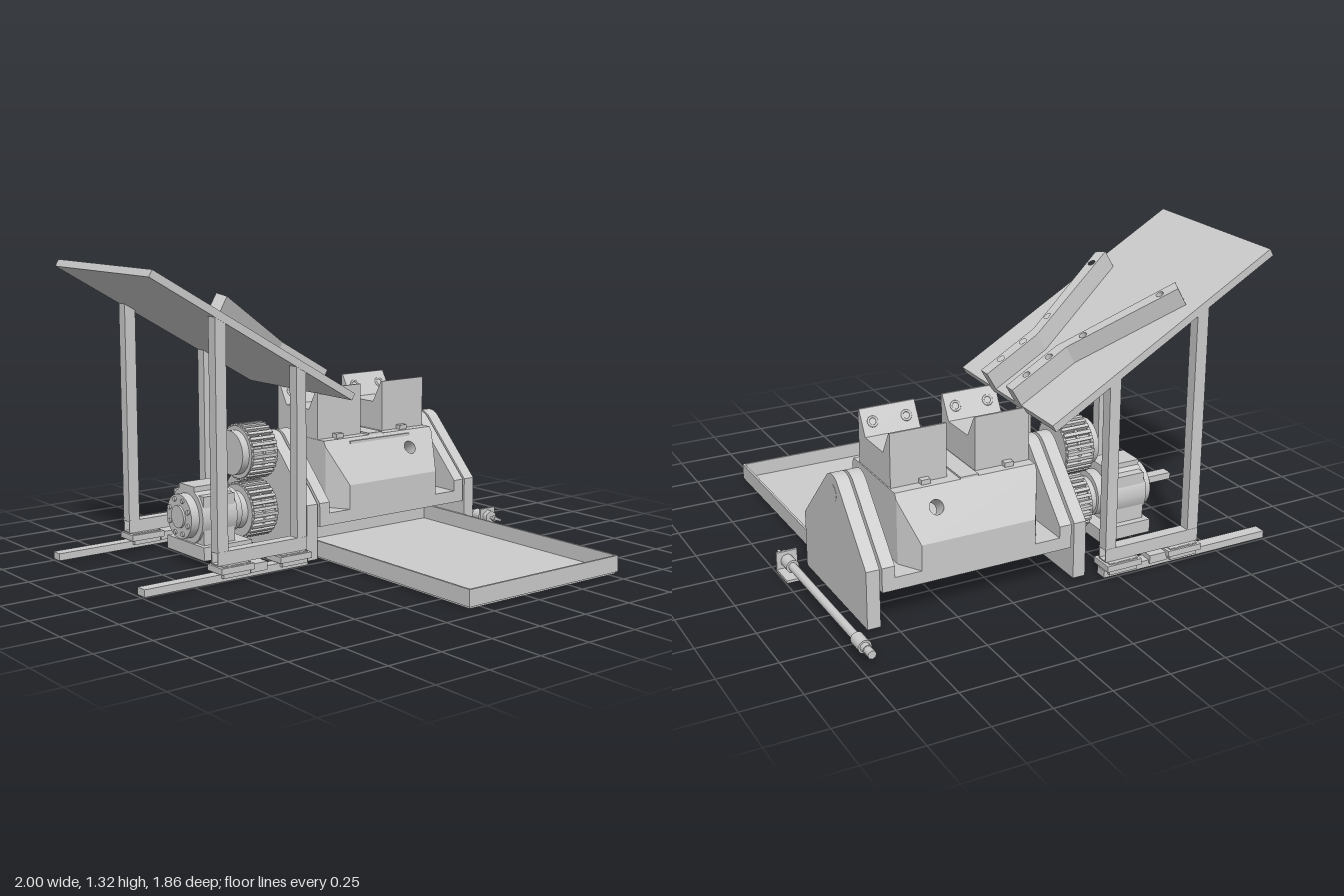
import * as THREE from 'three';

const grey = new THREE.MeshStandardMaterial({ color: 0xcccccc });
const greyDouble = new THREE.MeshStandardMaterial({ color: 0xcccccc, side: THREE.DoubleSide });
const ZC = -0.365; // centre line of the machine
const V = (x, y, z) => new THREE.Vector3(x, y, z);

function add(parent, name, geo, mat = grey) {
  const m = new THREE.Mesh(geo, mat);
  m.name = name;
  parent.add(m);
  return m;
}
// box from its limits
function box(parent, name, x0, x1, y0, y1, z0, z1) {
  return add(parent, name, new THREE.BoxGeometry(x1 - x0, y1 - y0, z1 - z0)
    .translate((x0 + x1) / 2, (y0 + y1) / 2, (z0 + z1) / 2));
}
// cylinder along x or z between two positions; a, b are the other two coordinates
function rodX(parent, name, x0, x1, y, z, r, sides = 32) {
  return add(parent, name, new THREE.CylinderGeometry(r, r, x1 - x0, sides)
    .rotateZ(Math.PI / 2).translate((x0 + x1) / 2, y, z));
}
function rodZ(parent, name, z0, z1, x, y, r, sides = 24) {
  return add(parent, name, new THREE.CylinderGeometry(r, r, z1 - z0, sides)
    .rotateX(Math.PI / 2).translate(x, y, (z0 + z1) / 2));
}
const poly = pts => new THREE.Shape(pts.map(p => new THREE.Vector2(...p)));
const hole = (x, y, r) => new THREE.Path().absarc(x, y, r, 0, Math.PI * 2, true);
const extrude = (shape, depth) =>
  new THREE.ExtrudeGeometry(shape, { depth, bevelEnabled: false, curveSegments: 20 });
// extrude a (-z, y) profile along x from x0 to x1, centred on the machine line
const alongX = (shape, x0, x1, z = ZC) => extrude(shape, x1 - x0).rotateY(Math.PI / 2).translate(x0, 0, z);

// flat panel through corners listed counter-clockwise, with an optional round hole
function panel(pts, holeAt, r) {
  const u = pts[1].clone().sub(pts[0]).normalize();
  const n = u.clone().cross(pts[2].clone().sub(pts[1])).normalize();
  const v = n.clone().cross(u);
  const flat = p => { const d = p.clone().sub(pts[0]); return [d.dot(u), d.dot(v)]; };
  const s = poly(pts.map(flat));
  if (holeAt) s.holes.push(hole(...flat(holeAt), r));
  const m = new THREE.Matrix4().makeBasis(u, v, n).setPosition(pts[0]);
  return { geo: new THREE.ShapeGeometry(s, 20).applyMatrix4(m), n };
}

function ramp() {
  const g = new THREE.Group();
  g.name = 'ramp';
  const deck = new THREE.Group();
  deck.name = 'rampDeck';
  deck.position.set(-0.935, 1.322, ZC);
  deck.rotation.z = -Math.PI / 6;
  box(deck, 'rampPlate', 0, 1.172, -0.033, 0, -0.387, 0.387);
  // pair of converging guides with bolt holes
  for (const s of [1, -1]) {
    const shape = poly([[0.387, 0.265], [0.9, 0.08], [1.172, 0.08], [1.172, 0.135], [0.885, 0.135], [0.41, 0.315]]
      .map(([x, w]) => [x, w * s]));
    for (const [x, w] of [[0.47, 0.262], [0.8, 0.143], [0.96, 0.108], [1.08, 0.108]])
      shape.holes.push(hole(x, w * s, 0.016));
    add(deck, 'rampGuide', extrude(shape, 0.085).rotateX(-Math.PI / 2));
  }
  g.add(deck);
  // carrying frame and linear rails, one per side
  const under = x => 1.322 - (x + 0.935) * 0.577 - 0.038;
  for (const [z, s] of [[-0.005, 1], [-0.725, -1]]) {
    for (const [a, b] of [[-0.645, -0.592], [-0.235, -0.185]])
      add(g, 'rampPost', extrude(poly([[a, 0.13], [b, 0.13], [b, under(b)], [a, under(a)]]), 0.05).translate(0, 0, z - 0.025));
    const tube = poly([[-0.026, 0.077], [0.026, 0.077], [0.026, 0.135], [-0.026, 0.135]]);
    tube.holes.push(poly([[-0.021, 0.082], [-0.021, 0.13], [0.021, 0.13], [0.021, 0.082]]));
    add(g, 'frameBeam', alongX(tube, -0.645, -0.185, z));
    box(g, 'linearRail', -1, -0.18, 0.008, 0.04, z - 0.027, z + 0.027);
    for (const x of [-0.645, -0.345]) {
      box(g, 'carriage', x + 0.015, x + 0.15, 0.025, 0.077, z - 0.045, z + 0.045);
      box(g, 'carriageFlange', x, x + 0.165, 0.045, 0.072, z - 0.055, z + 0.055);
      for (const bx of [0.045, 0.12])
        add(g, 'carriageBolt', new THREE.CylinderGeometry(0.009, 0.009, 0.008, 12)
          .translate(x + bx, 0.074, z + s * 0.042));
    }
    box(g, 'railClamp', -0.485, -0.4, 0.025, 0.062, z - 0.035, z + 0.035);
  }
  return g;
}

function pulley(parent, y) {
  // toothed belt wheel between two thin flanges
  const pts = [], n = 28;
  for (let i = 0; i < n; i++)
    for (const [t, r] of [[0, 0.128], [0.5, 0.128], [0.58, 0.108], [0.92, 0.108]]) {
      const a = (i + t) / n * Math.PI * 2;
      pts.push([r * Math.cos(a), r * Math.sin(a)]);
    }
  add(parent, 'toothedPulley', alongX(poly(pts), -0.28, -0.15).translate(0, y, 0));
  for (const x of [-0.285, -0.222, -0.158]) rodX(parent, 'pulleyFlange', x, x + 0.012, y, ZC, 0.119);
}

function drive() {
  const g = new THREE.Group();
  g.name = 'drive';
  pulley(g, 0.46);
  rodX(g, 'pulleyHub', -0.32, -0.28, 0.46, ZC, 0.1);
  rodX(g, 'drumShaft', -0.3, -0.05, 0.46, ZC, 0.022);
  rodX(g, 'shaftCollar', -0.15, -0.125, 0.46, ZC, 0.045);
  pulley(g, 0.195);
  // gearbox on its foot
  box(g, 'gearboxFoot', -0.56, -0.31, 0.035, 0.095, ZC - 0.15, ZC + 0.15);
  rodX(g, 'gearboxBody', -0.55, -0.37, 0.21, ZC, 0.13, 16);
  box(g, 'gearboxHousing', -0.54, -0.38, 0.09, 0.31, ZC - 0.12, ZC + 0.12);
  box(g, 'gearboxCover', -0.55, -0.37, 0.32, 0.346, ZC - 0.06, ZC + 0.06);
  rodX(g, 'gearboxNose', -0.37, -0.325, 0.21, ZC, 0.1);
  rodX(g, 'driveShaft', -0.33, -0.27, 0.2, ZC, 0.085);
  rodX(g, 'motorFlange', -0.59, -0.55, 0.21, ZC, 0.1);
  rodX(g, 'motorHub', -0.6, -0.59, 0.21, ZC, 0.05);
  for (let i = 0; i < 8; i++) {
    const a = (i + 0.5) * Math.PI / 4;
    rodX(g, 'flangeBolt', -0.598, -0.585, 0.21 + 0.08 * Math.sin(a), ZC + 0.08 * Math.cos(a), 0.011, 8);
  }
  return g;
}

// side plate with a rounded top around the shaft
function sideProfile(bottom) {
  const s = new THREE.Shape(), a = 44.1 * Math.PI / 180;
  s.moveTo(-0.315, bottom).lineTo(0.315, bottom).lineTo(0.315, 0.25);
  s.absarc(0, 0.46, 0.08, a, Math.PI - a, false);
  s.lineTo(-0.315, 0.25).closePath();
  return s;
}

function cradle() {
  const g = new THREE.Group();
  g.name = 'tiltingCradle';
  for (const x of [-0.13, 0.802]) add(g, 'standPlate', alongX(sideProfile(0), x, x + 0.057));
  for (const x of [-0.06, 0.737]) add(g, 'cradleCheek', alongX(sideProfile(0.145), x, x + 0.055));
  for (const x of [-0.08, 0.785]) rodX(g, 'pivotPin', x, x + 0.075, 0.46, ZC, 0.04);
  box(g, 'cradleFloor', -0.01, 0.74, 0.145, 0.2, ZC - 0.315, ZC + 0.315);
  for (const x of [0.122, 0.608])
    add(g, 'floorBolt', new THREE.CylinderGeometry(0.017, 0.017, 0.025, 16).translate(x, 0.136, ZC));

  // faceted body built from two halves of flat panels
  const a = 0.255, b = 0.315, f = 0.315, c = 0.215, t = 0.2;
  for (const s of [1, -1]) {
    const half = new THREE.Group();
    half.name = 'bodyHalf';
    half.position.set(0.365, 0, ZC);
    half.rotation.y = s > 0 ? 0 : Math.PI;
    const faces = [
      [V(-a, 0.2, f), V(a, 0.2, f), V(a, 0.31, f), V(-a, 0.31, f)],
      [V(a, 0.2, f), V(b, 0.2, c), V(b, 0.475, c), V(a, 0.31, f)],
      [V(-b, 0.2, c), V(-a, 0.2, f), V(-a, 0.31, f), V(-b, 0.475, c)],
      [V(b, 0.2, c), V(b, 0.2, 0), V(b, 0.5, 0), V(b, 0.5, t), V(b, 0.475, c)],
      [V(-b, 0.2, 0), V(-b, 0.2, c), V(-b, 0.475, c), V(-b, 0.5, t), V(-b, 0.5, 0)],
      [V(-b, 0.5, t), V(b, 0.5, t), V(b, 0.5, 0), V(-b, 0.5, 0)],
    ];
    for (const pts of faces) add(half, 'bodyPanel', panel(pts).geo);
    const at = V(0.155 * s, 0.425, f - 0.0696);
    const slope = panel([V(-a, 0.31, f), V(a, 0.31, f), V(b, 0.475, c), V(b, 0.5, t), V(-b, 0.5, t), V(-b, 0.475, c)], at, 0.031);
    add(half, 'bodySlope', slope.geo);
    const bore = add(half, 'sightBore', new THREE.CylinderGeometry(0.031, 0.031, 0.08, 24, 1, true), greyDouble);
    bore.quaternion.setFromUnitVectors(V(0, 1, 0), slope.n);
    bore.position.copy(at).addScaledVector(slope.n, -0.04);
    if (s > 0) box(half, 'slopeStrip', -0.175, 0.175, 0.474, 0.486, 0.2, 0.217);
    g.add(half);
  }
  box(g, 'topRib', 0.31, 0.39, 0.49, 0.508, ZC - 0.2, ZC + 0.2);

  // two V-shaped holders with bolts on their sloping faces
  for (const x of [0.053, 0.428]) {
    const jaw = poly([[-0.152, 0.5], [0.152, 0.5], [0.152, 0.732], [0.143, 0.732], [0.085, 0.63], [-0.085, 0.63], [-0.143, 0.732], [-0.152, 0.732]]);
    add(g, 'holder', alongX(jaw, x, x + 0.247));
    for (const s of [1, -1])
      for (const dx of [0.05, 0.2]) {
        const bolt = add(g, 'holderBolt', new THREE.TorusGeometry(0.019, 0.005, 8, 20).rotateX(Math.PI / 2));
        bolt.position.set(x + dx, 0.681, ZC + s * 0.114);
        bolt.rotation.x = -s * 1.05;
      }
    for (const s of [1, -1])
      box(g, 'holderFoot', x + 0.085, x + 0.125, 0.5, 0.52, ZC + s * 0.16 - 0.02, ZC + s * 0.16 + 0.02);
  }
  return g;
}

function tray() {
  const g = new THREE.Group();
  g.name = 'tray';
  const x0 = -0.063, x1 = 0.797, z0 = -0.33, z1 = 0.925;
  box(g, 'trayFloor', x0 + 0.006, x1 - 0.006, 0, 0.012, z0, z1 - 0.006);
  for (const x of [x0, x1 - 0.01]) box(g, 'traySide', x, x + 0.01, 0.008, 0.08, z0, z1);
  for (const z of [z0, z1 - 0.01]) box(g, 'trayEnd', x0, x1, 0.008, 0.08, z, z + 0.01);
  return g;
}

function cylinderRod() {
  const g = new THREE.Group();
  g.name = 'pneumaticCylinder';
  const x = 0.95, y = 0.045;
  rodZ(g, 'cylinderTube', -0.82, -0.06, x, y, 0.018);
  rodZ(g, 'rearCap', -0.865, -0.79, x, y, 0.028);
  rodZ(g, 'rearNeck', -0.89, -0.865, x, y, 0.02);
  rodZ(g, 'rearEye', -0.932, -0.885, x, y, 0.018, 8);
  rodZ(g, 'frontCap', -0.12, -0.045, x, y, 0.028);
  rodZ(g, 'mountNut', -0.042, -0.018, x, y, 0.035, 6);
  rodZ(g, 'pistonRod', -0.05, 0.045, x, y, 0.007);
  rodZ(g, 'rodNut', 0.0, 0.014, x, y, 0.014, 6);
  // angle bracket
  box(g, 'bracketPlate', 0.904, 0.996, 0, 0.088, -0.055, -0.043);
  box(g, 'bracketFoot', 0.904, 0.996, 0, 0.012, -0.17, -0.055);
  return g;
}

export function createModel() {
  const model = new THREE.Group();
  model.name = 'rampAndCradleMachine';
  model.add(ramp(), drive(), cradle(), tray(), cylinderRod());
  return model;
}
